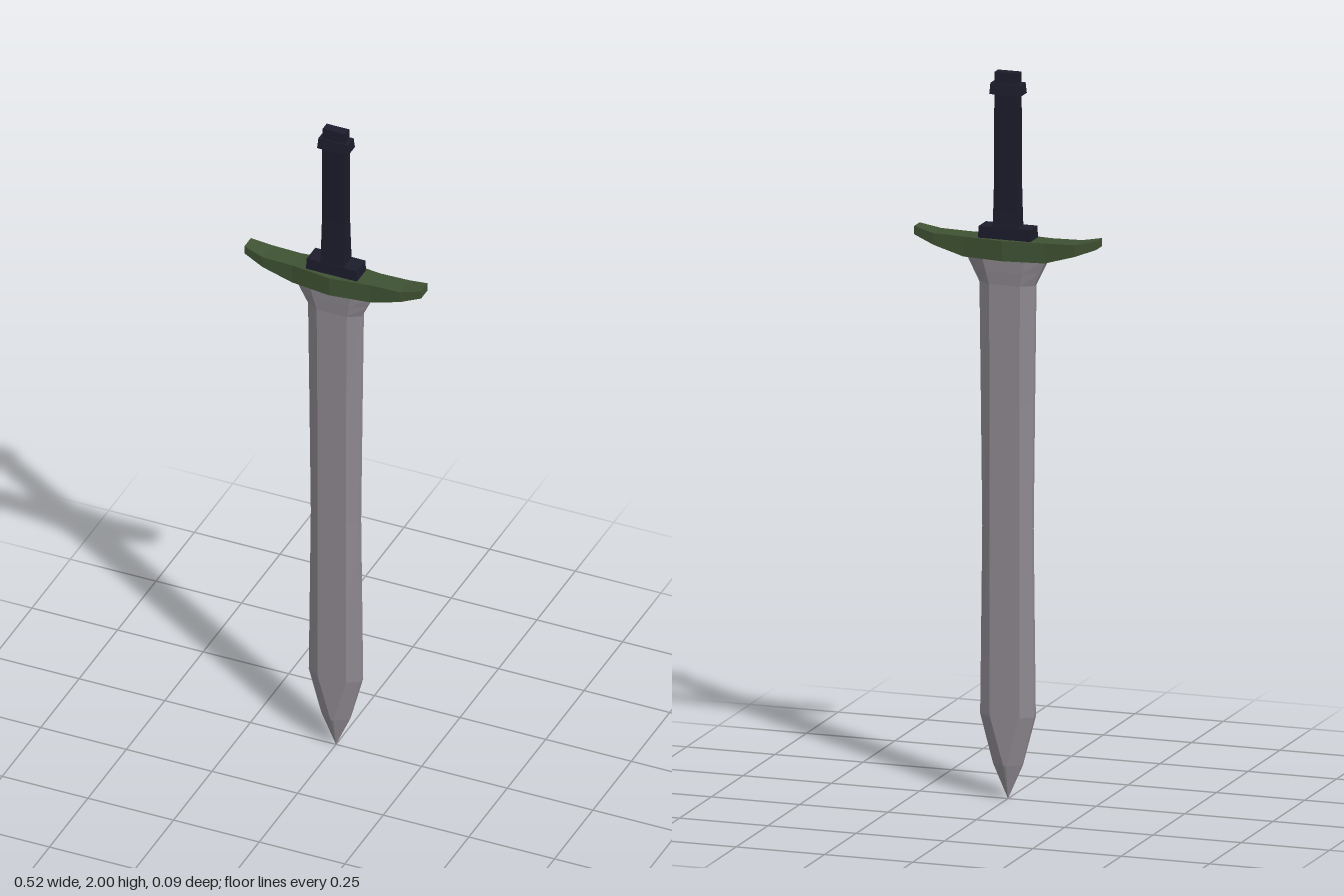
import * as THREE from 'three';

const STEEL = 0x8f8a91, GREEN = 0x3f5233, DARK = 0x1c1c2c;

// Skin a list of equal-length point rings, with capped ends
function loft(rings) {
  const n = rings[0].length, pos = [];
  const tri = (a, b, c) => pos.push(...a, ...b, ...c);
  for (let i = 0; i < rings.length - 1; i++) {
    for (let j = 0; j < n; j++) {
      const k = (j + 1) % n;
      tri(rings[i][j], rings[i][k], rings[i + 1][k]);
      tri(rings[i][j], rings[i + 1][k], rings[i + 1][j]);
    }
  }
  const first = rings[0], last = rings[rings.length - 1];
  for (let j = 1; j < n - 1; j++) {
    tri(first[0], first[j + 1], first[j]);
    tri(last[0], last[j], last[j + 1]);
  }
  const geo = new THREE.BufferGeometry();
  geo.setAttribute('position', new THREE.Float32BufferAttribute(pos, 3));
  geo.computeVertexNormals();
  return geo;
}

// Octagonal blade section: edge half-width w, flat half-width f, depth d, edge depth e
const bladeRing = ([y, w, f, d, e]) => [
  [w, y, e], [w, y, -e], [f, y, -d], [-f, y, -d],
  [-w, y, -e], [-w, y, e], [-f, y, d], [f, y, d],
];

// Rectangular section across y: half-width w, half-depth d
const boxRing = ([y, w, d]) => [[w, y, d], [w, y, -d], [-w, y, -d], [-w, y, d]];

// Rectangular section across x: bottom, top, half-depth
const guardRing = ([x, lo, hi, d]) => [[x, hi, -d], [x, hi, d], [x, lo, d], [x, lo, -d]];

export function createModel() {
  const model = new THREE.Group();
  const add = (name, geometry, color) => {
    const material = new THREE.MeshStandardMaterial({ color, flatShading: true });
    const mesh = new THREE.Mesh(geometry, material);
    mesh.name = name;
    model.add(mesh);
  };

  // Blade, from the point up to the flared shoulder
  add('blade', loft([
    [0.005, 0, 0, 0, 0],
    [0.1, 0.041, 0.004, 0.027, 0.004],
    [0.235, 0.076, 0.042, 0.028, 0.008],
    [0.4, 0.074, 0.042, 0.028, 0.008],
    [0.75, 0.07, 0.042, 0.028, 0.008],
    [1.1, 0.074, 0.042, 0.028, 0.008],
    [1.42, 0.078, 0.044, 0.028, 0.008],
    [1.455, 0.094, 0.052, 0.032, 0.012],
    [1.5, 0.115, 0.062, 0.036, 0.016],
  ].map(bladeRing)), STEEL);

  // Crossguard: mirrored half profile, arms sweeping up
  const half = [
    [0.115, 1.49, 1.545, 0.031],
    [0.2, 1.515, 1.547, 0.031],
    [0.258, 1.537, 1.56, 0.021],
  ];
  const mirrored = half.map(([x, ...rest]) => [-x, ...rest]).reverse();
  add('crossguard', loft([...mirrored, [0, 1.49, 1.545, 0.046], ...half].map(guardRing)), GREEN);

  // Collar on the guard
  add('collar', loft([[1.535, 0.075, 0.03], [1.577, 0.073, 0.028]].map(boxRing)), DARK);

  // Grip, thicker at its base
  add('grip', loft([
    [1.57, 0.034, 0.027],
    [1.62, 0.034, 0.022],
    [1.71, 0.033, 0.018],
    [1.96, 0.033, 0.016],
    [2, 0.033, 0.013],
  ].map(boxRing)), DARK);

  // Band near the end of the grip
  add('pommelBand', loft([[1.94, 0.045, 0.023], [1.97, 0.043, 0.019]].map(boxRing)), DARK);

  return model;
}
